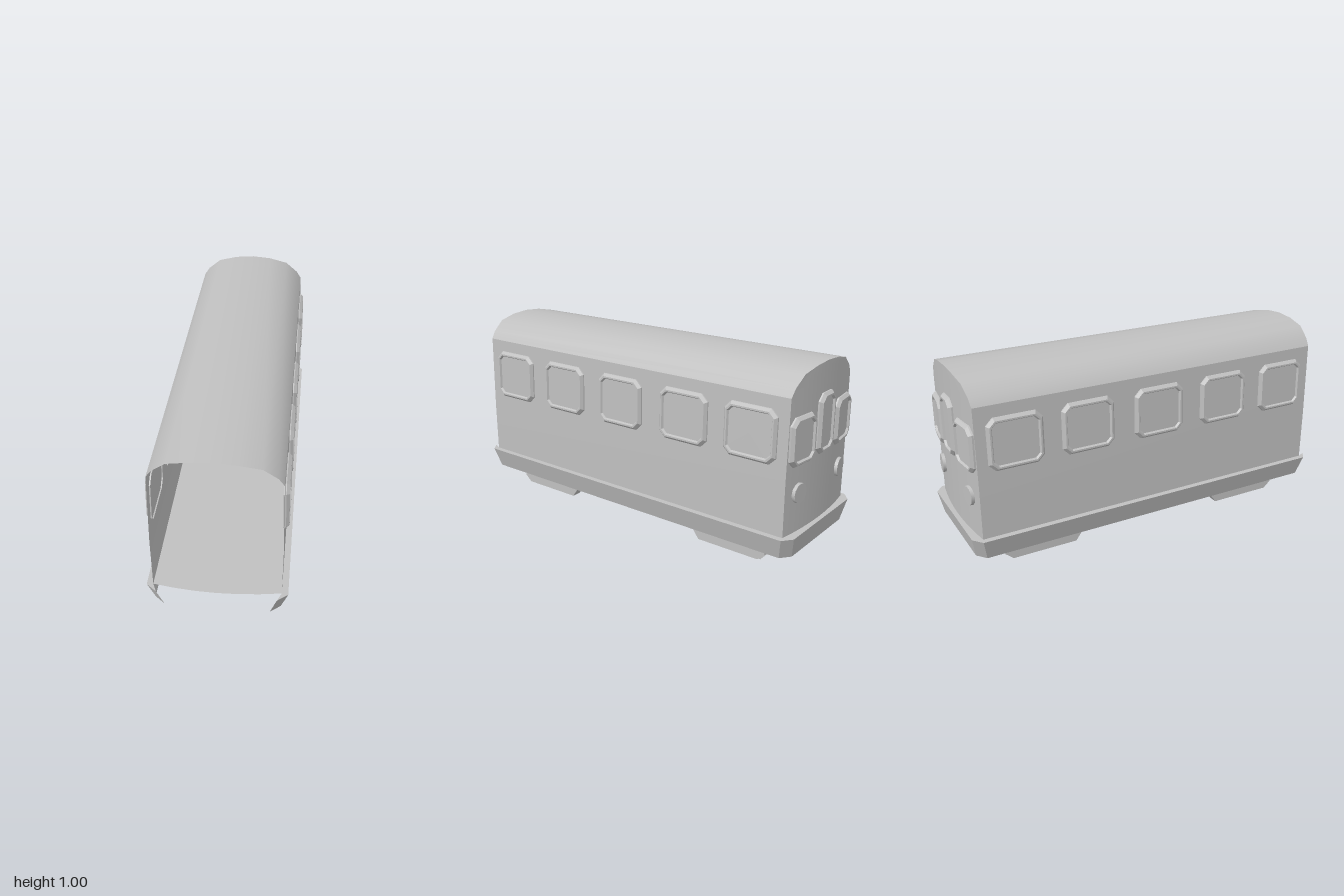
import * as THREE from 'three';
import { toCreasedNormals } from 'three/addons/utils/BufferGeometryUtils.js';

const paint = new THREE.MeshStandardMaterial({ color: 0xc0c0c0, side: THREE.DoubleSide });
paint.name = 'grey paint';

// Both ends of the carriage bow outwards in plan
const frontZ = (x) => 0.982 - 0.3 * x * x;
const backZ = (x) => -0.977 + 0.28 * x * x;
const FLOOR = 0.23;

// Surface through rows of [x, y, z] points; every row has the same length
function loft(rows, crease, closed = false) {
  const n = rows[0].length, index = [];
  for (let r = 0; r < rows.length - 1; r++) {
    for (let i = 0; i < (closed ? n : n - 1); i++) {
      const a = r * n + i, b = r * n + (i + 1) % n;
      index.push(a, b, b + n, a, b + n, a + n);
    }
  }
  const g = new THREE.BufferGeometry();
  g.setAttribute('position', new THREE.Float32BufferAttribute(rows.flat(2), 3));
  g.setIndex(index);
  return toCreasedNormals(g, crease);
}

function addMesh(parent, geometry, name) {
  const mesh = new THREE.Mesh(geometry, paint);
  mesh.name = name;
  parent.add(mesh);
  return mesh;
}

// Rectangle with cut corners, counter-clockwise, at height z
function cutRect(w, h, cut, inset, z) {
  const a = w / 2 - inset, b = h / 2 - inset, c = cut - inset * 0.5;
  return [[a, c - b], [a, b - c], [a - c, b], [c - a, b], [-a, b - c], [-a, c - b], [c - a, -b], [a - c, -b]]
    .map(([x, y]) => [x, y, z]);
}

// Raised window frame with a recessed pane, facing +z
function windowGeometry(w, h) {
  const rings = [
    cutRect(w, h, 0.035, 0, -0.006),
    cutRect(w, h, 0.035, 0.002, 0.006),
    cutRect(w, h, 0.035, 0.014, 0.02),
    cutRect(w, h, 0.035, 0.022, 0.02),
    cutRect(w, h, 0.035, 0.028, 0.01),
    cutRect(0.002, 0.002, 0.0005, 0, 0.01),
  ];
  return loft(rings, 0.3, true);
}

// Side profile given as [z, y], extruded across x and centred there
function sidePlate(profile, width) {
  const shape = new THREE.Shape(profile.map(([z, y]) => new THREE.Vector2(-z, y)));
  const g = new THREE.ExtrudeGeometry(shape, { depth: width, bevelEnabled: false });
  g.translate(0, 0, -width / 2);
  return g.rotateY(Math.PI / 2);
}

export function createModel() {
  const model = new THREE.Group();
  model.name = 'railCarriage';

  // Walls and arched roof
  const half = [[0.3, FLOOR], [0.3, 0.5], [0.292, 0.83], [0.291, 0.887], [0.265, 0.926],
    [0.2, 0.977], [0.1, 0.998]];
  const profile = [...half, [0, 1.005], ...half.map(([x, y]) => [-x, y]).reverse()];
  addMesh(model, loft([
    profile.map(([x, y]) => [x, y, frontZ(x)]),
    profile.map(([x, y]) => [x, y, backZ(x)]),
  ], 0.5), 'wallsAndRoof');

  // Bowed back wall, spanning left to right at each profile height
  const columns = [-1, -0.75, -0.5, -0.25, 0, 0.25, 0.5, 0.75, 1];
  const levels = [...half, [0.001, 1.005]];
  addMesh(model, loft(levels.map(([hw, y]) => columns.map((c) => [-c * hw, y, backZ(c * hw)])), 0.5), 'backWall');

  // Sloped skirt with cut corners, open at the front
  const rim = [[-0.28, 1], [-0.33, 0.96], [-0.33, -0.96], [-0.28, -1],
    [0.28, -1], [0.33, -0.96], [0.33, 0.96], [0.28, 1]];
  addMesh(model, loft([
    rim.map(([x, z]) => [x, FLOOR, z]),
    rim.map(([x, z]) => [x - Math.sign(x) * 0.032, 0.123, z - Math.sign(z) * 0.022]),
  ], 0.3), 'skirt');

  // Floor, running out to the skirt as a ledge
  const frontEdge = [0.3, 0.2, 0.1, 0, -0.1, -0.2, -0.3].map((x) => [x, frontZ(x)]);
  const floorShape = new THREE.Shape([...rim, ...frontEdge].map(([x, z]) => new THREE.Vector2(x, -z)));
  const floor = new THREE.ShapeGeometry(floorShape).rotateX(-Math.PI / 2);
  addMesh(model, floor, 'floor').position.y = FLOOR;

  // Five windows along each side
  const sideWindow = windowGeometry(0.28, 0.262);
  for (const side of [-1, 1]) {
    for (const z of [0.765, 0.39, 0.003, -0.39, -0.76]) {
      const w = addMesh(model, sideWindow, side > 0 ? 'leftWindow' : 'rightWindow');
      w.position.set(side * 0.295, 0.697, z);
      w.rotation.set(-0.026, side * Math.PI / 2, 0, 'YXZ');
    }
  }

  // Back windows: two wide ones and a tall one between
  const placeOnBack = (mesh, x, y) => {
    mesh.position.set(x, y, backZ(x));
    mesh.rotation.y = Math.PI - 0.56 * x;
  };
  const wide = windowGeometry(0.195, 0.235);
  for (const x of [-0.194, 0.194]) placeOnBack(addMesh(model, wide, 'backWindow'), x, 0.677);
  placeOnBack(addMesh(model, windowGeometry(0.155, 0.295), 'backDoorWindow'), 0, 0.713);

  // Round lamps on the back wall
  const lamp = new THREE.CylinderGeometry(0.047, 0.05, 0.03, 12).rotateX(Math.PI / 2);
  for (const x of [-0.202, 0.202]) placeOnBack(addMesh(model, toCreasedNormals(lamp, 0.7), 'backLamp'), x, 0.425);

  // Wheels and bogie frames, mirrored to all four corners
  const wheel = [[0.8, 0.143], [0.82, 0.1415], [0.82, 0.06], [0.765, 0], [0.68, 0], [0.62, 0.06], [0.62, 0.143]];
  const frame = [[0.82, 0.135], [0.82, 0.065], [0.78, 0.03], [0.435, 0.03], [0.395, 0.085], [0.39, 0.135]];
  const mirrorZ = (p, end) => (end > 0 ? p : p.map(([z, y]) => [-z, y]).reverse());
  for (const end of [-1, 1]) {
    const wheelGeometry = sidePlate(mirrorZ(wheel, end), 0.043);
    const frameGeometry = sidePlate(mirrorZ(frame, end), 0.053);
    for (const side of [-1, 1]) {
      addMesh(model, wheelGeometry, 'wheel').position.x = side * 0.14;
      addMesh(model, frameGeometry, 'bogieFrame').position.x = side * 0.192;
    }
  }
  return model;
}
